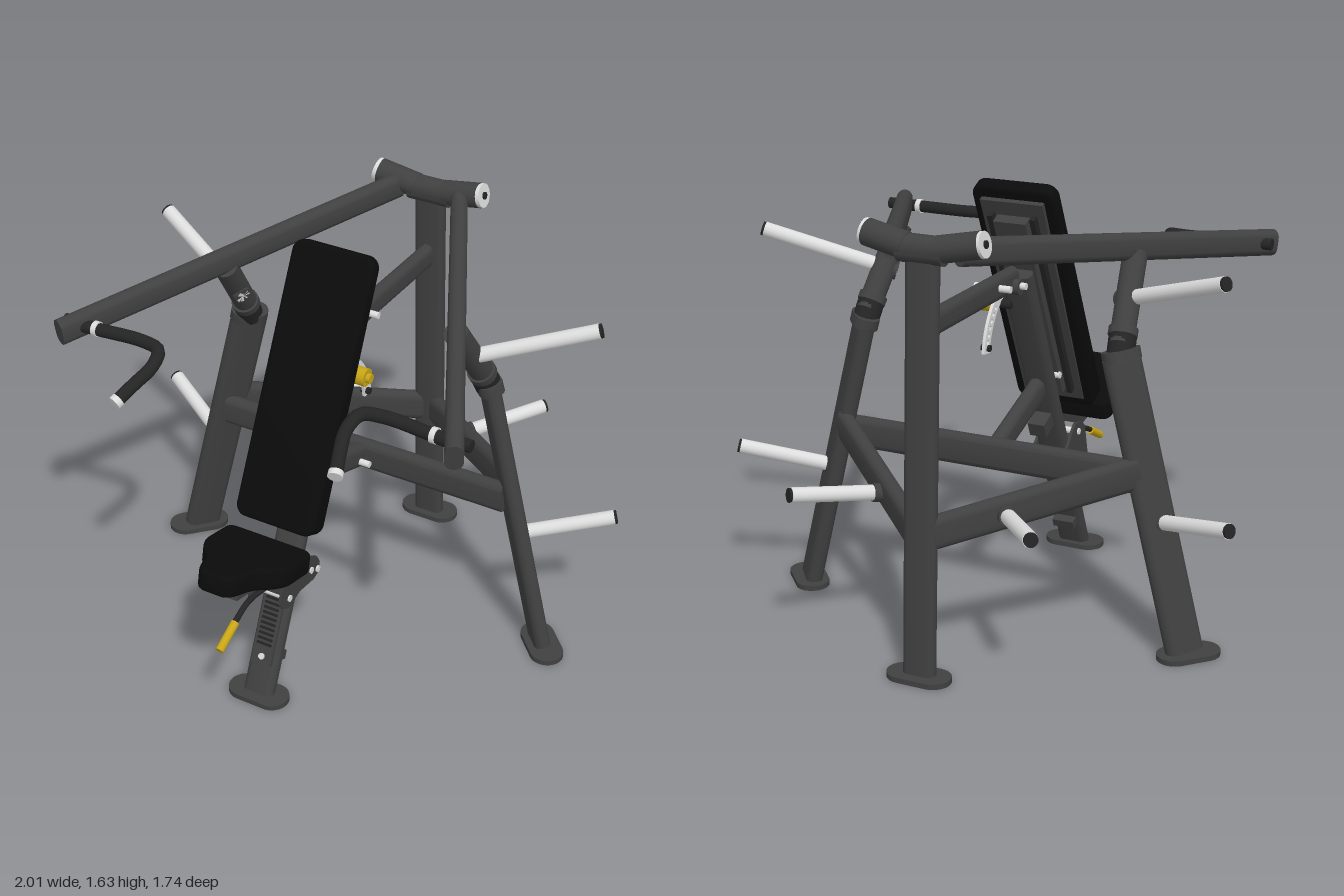
import * as THREE from 'three';
import { toCreasedNormals } from 'three/addons/utils/BufferGeometryUtils.js';

const mat = (name, color) => {
  const m = new THREE.MeshStandardMaterial({ color });
  m.name = name;
  return m;
};
const V = (x, y, z) => new THREE.Vector3(x, y, z);

export function createModel() {
  const root = new THREE.Group();
  root.name = 'chestPressMachine';
  const frame = mat('frame grey', 0x404040);
  const black = mat('pad black', 0x0b0b0b);
  const chrome = mat('bright metal', 0xdcdcdc);
  const dark = mat('rubber dark', 0x242424);
  const yellow = mat('grip yellow', 0xc8a516);

  const add = (name, geo, m, parent = root) => {
    const mesh = new THREE.Mesh(geo, m);
    mesh.name = name;
    parent.add(mesh);
    return mesh;
  };
  const smooth = (g) => toCreasedNormals(g, 0.6);

  // Round-sided flat tube from a to b; w is measured along the direction "wide"
  const beam = (name, a, b, w, t, wide, m = frame, parent = root) => {
    const r = t / 2, s = w / 2 - r, shape = new THREE.Shape();
    shape.absarc(s, 0, r, -Math.PI / 2, Math.PI / 2);
    shape.absarc(-s, 0, r, Math.PI / 2, Math.PI * 1.5);
    const geo = new THREE.ExtrudeGeometry(shape, { depth: a.distanceTo(b), bevelEnabled: false, curveSegments: 8 });
    const z = b.clone().sub(a).normalize();
    const x = wide.clone().addScaledVector(z, -wide.dot(z)).normalize();
    const y = z.clone().cross(x);
    geo.applyMatrix4(new THREE.Matrix4().makeBasis(x, y, z).setPosition(a));
    return add(name, smooth(geo), m, parent);
  };
  const rod = (name, a, b, r, m, parent = root) => {
    const d = b.clone().sub(a);
    const mesh = add(name, new THREE.CylinderGeometry(r, r, d.length(), 20), m, parent);
    mesh.position.copy(a).addScaledVector(d, 0.5);
    mesh.quaternion.setFromUnitVectors(V(0, 1, 0), d.normalize());
    return mesh;
  };
  const tube = (name, pts, r, m) =>
    add(name, new THREE.TubeGeometry(new THREE.CatmullRomCurve3(pts), 32, r, 12), m);
  const box = (name, w, h, d, x, y, z, m, parent = root) => {
    const mesh = add(name, new THREE.BoxGeometry(w, h, d), m, parent);
    mesh.position.set(x, y, z);
    return mesh;
  };
  // Plate drawn in the z-y plane, centred on x
  const sidePlate = (name, shape, x, t, m) => {
    const geo = new THREE.ExtrudeGeometry(shape, { depth: t, bevelEnabled: false, curveSegments: 16 });
    geo.rotateY(-Math.PI / 2).translate(x + t / 2, 0, 0);
    return add(name, smooth(geo), m);
  };
  const bolt = (x, y, z) => rod('bolt', V(-x, y, z), V(x, y, z), 0.013, chrome);
  const foot = (name, x, z, wide) => beam(name, V(x, 0, z), V(x, 0.02, z), 0.245, 0.13, wide);
  // Weight horn with root flange and dark end plug
  const horn = (name, a, b) => {
    const d = b.clone().sub(a).normalize();
    rod(name, a, b, 0.028, chrome);
    rod(name + 'Flange', a, a.clone().addScaledVector(d, 0.03), 0.034, frame);
    rod(name + 'Plug', b, b.clone().addScaledVector(d, 0.009), 0.026, dark);
  };
  const UP = V(0, 1, 0), RIGHT = V(1, 0, 0);

  // Rear post, crossbar and centre beams
  beam('rearPost', V(0, 0.01, -0.78), V(0, 1.57, -0.705), 0.125, 0.058, RIGHT);
  foot('rearFoot', 0, -0.785, RIGHT);
  foot('frontFoot', 0, 0.583, RIGHT);
  beam('crossbar', V(-0.61, 0.65, -0.19), V(0.61, 0.65, -0.19), 0.125, 0.06, UP);
  beam('upperCentreBeam', V(0, 1.275, -0.02), V(0, 1.275, -0.71), 0.095, 0.055, UP);
  beam('lowerCentreBeam', V(0, 0.785, 0.22), V(0, 0.65, -0.17), 0.1, 0.06, UP);
  beam('pivotBlock', V(-0.085, 1.545, -0.71), V(0.085, 1.545, -0.71), 0.1, 0.09, UP);

  for (const s of [1, -1]) {
    const P = (x, y, z) => V(s * x, y, z);
    const turned = P(0.68, 0, 0.73);
    // Side leg and its brace to the rear post
    beam('sideLeg', P(0.783, 0.02, -0.215), P(0.515, 1.1, -0.215), 0.145, 0.062, turned);
    foot('sideFoot', s * 0.797, -0.21, turned);
    beam('rearBrace', P(0.6, 0.69, -0.24), P(0.03, 0.545, -0.75), 0.125, 0.06, UP);
    // Arm stop at the top of the leg
    beam('legCollar', P(0.52, 1.085, -0.213), P(0.51, 1.125, -0.21), 0.145, 0.095, turned);
    rod('bumper', P(0.512, 1.1, -0.215), P(0.505, 1.17, -0.175), 0.05, dark);
    rod('armStrut', P(0.508, 1.14, -0.2), P(0.475, 1.42, 0.0), 0.045, frame);
    rod('strutRing', P(0.505, 1.165, -0.18), P(0.502, 1.19, -0.163), 0.053, frame);
    // Weight horns
    horn('armHorn', P(0.45, 1.265, -0.075), P(0.905, 1.42, -0.262));
    horn('legHorn', P(0.67, 0.5, -0.205), P(0.985, 0.583, -0.37));
    horn('braceHorn', P(0.25, 0.595, -0.59), P(0.463, 0.64, -0.85));
    // Press arm and pivot sleeve
    rod('pivotSleeve', P(0.06, 1.55, -0.71), P(0.215, 1.58, -0.7), 0.048, frame);
    rod('pivotCap', P(0.213, 1.58, -0.7), P(0.228, 1.583, -0.7), 0.046, chrome);
    rod('pivotCapBolt', P(0.227, 1.583, -0.7), P(0.234, 1.584, -0.7), 0.014, dark);
    beam('pressArm', P(0.13, 1.545, -0.69), P(0.785, 1.355, 0.605), 0.1, 0.064, UP);
    rod('armBolt', P(0.7, 1.365, 0.53), P(0.81, 1.365, 0.53), 0.022, dark);
    // Bent handle
    tube('handle', [P(0.78, 1.362, 0.54), P(0.66, 1.364, 0.53), P(0.48, 1.366, 0.52), P(0.405, 1.362, 0.54),
      P(0.388, 1.335, 0.605), P(0.41, 1.3, 0.685), P(0.435, 1.262, 0.755)], 0.024, dark);
    rod('handleCollar', P(0.665, 1.364, 0.53), P(0.685, 1.364, 0.53), 0.028, chrome);
    rod('handleEnd', P(0.432, 1.266, 0.747), P(0.438, 1.257, 0.766), 0.026, chrome);
  }

  // Leaning spine with ratchet strip
  const spine = new THREE.Group();
  spine.name = 'spine';
  spine.position.set(0, 0.012, 0.58);
  spine.rotation.x = -0.4124;
  root.add(spine);
  beam('spineTube', V(0, 0, 0), V(0, 1.39, 0), 0.125, 0.06, RIGHT, frame, spine);
  box('ratchetStrip', 0.085, 0.28, 0.012, 0, 0.26, 0.034, frame, spine);
  for (let i = 0; i < 10; i++) box('ratchetTooth', 0.06, 0.008, 0.01, 0, 0.2 + i * 0.02, 0.043, dark, spine);
  rod('stripBolt', V(0, 0.15, 0.03), V(0, 0.15, 0.048), 0.012, chrome, spine);
  box('spineStop', 0.09, 0.035, 0.06, 0, 0.15, -0.035, frame, spine);
  box('backHinge', 0.07, 0.06, 0.09, 0, 0.7, -0.06, frame, spine);

  // Back pad with its board and channel
  const back = new THREE.Group();
  back.name = 'backRest';
  back.position.set(0, 1.156, 0.211);
  back.rotation.x = -0.435;
  root.add(back);
  const roundRect = (w, h, r) => {
    const q = new THREE.Shape(), x = w / 2 - r, y = h / 2 - r;
    q.absarc(x, y, r, 0, Math.PI / 2).absarc(-x, y, r, Math.PI / 2, Math.PI);
    q.absarc(-x, -y, r, Math.PI, Math.PI * 1.5).absarc(x, -y, r, Math.PI * 1.5, Math.PI * 2);
    return q;
  };
  const bevel = { bevelEnabled: true, bevelSize: 0.015, bevelThickness: 0.015, bevelSegments: 3, curveSegments: 8 };
  const padGeo = new THREE.ExtrudeGeometry(roundRect(0.3, 1.0, 0.03), { depth: 0.046, ...bevel });
  padGeo.translate(0, 0, -0.023);
  const p = padGeo.attributes.position;
  for (let i = 0; i < p.count; i++) p.setZ(i, p.getZ(i) * (1 - p.getY(i) * 0.4)); // thinner at the top
  add('backPad', toCreasedNormals(padGeo, 0.9), black, back);
  box('backBoard', 0.25, 0.94, 0.02, 0, 0, -0.04, frame, back);
  box('backChannel', 0.13, 0.82, 0.05, 0, 0.0, -0.068, frame, back);
  for (const s of [1, -1]) box('backRib', 0.02, 0.84, 0.035, s * 0.085, 0, -0.06, dark, back);

  // Curved angle selector with holes and a knob
  const arc = new THREE.Shape(), cz = 0.184, cy = 0.963, R = 0.276;
  arc.absarc(cz, cy, R + 0.023, 2.1, 3.02, false);
  arc.absarc(cz, cy, R - 0.023, 3.02, 2.1, true);
  for (let i = 0; i < 7; i++) {
    const a = 2.38 + i * 0.098;
    arc.holes.push(new THREE.Path().absarc(cz + R * Math.cos(a), cy + R * Math.sin(a), 0.009, 0, Math.PI * 2, true));
  }
  sidePlate('angleSelector', arc, 0.075, 0.012, chrome);
  rod('selectorStop', V(0.06, 1.015, -0.08), V(0.095, 1.015, -0.08), 0.013, dark);
  rod('knobShaft', V(0.03, 1.155, 0.04), V(0.11, 1.155, 0.04), 0.016, dark);
  rod('knob', V(0.1, 1.155, 0.04), V(0.15, 1.155, 0.04), 0.034, yellow);
  rod('knobTip', V(0.15, 1.155, 0.04), V(0.166, 1.155, 0.04), 0.018, yellow);

  // Seat cushion, tapering to the front
  const seat = new THREE.Group();
  seat.name = 'seat';
  seat.position.set(0, 0.665, 0.665);
  seat.rotation.x = -0.22;
  root.add(seat);
  const out = new THREE.Shape();
  out.moveTo(-0.14, -0.175).lineTo(0.14, -0.175).quadraticCurveTo(0.165, -0.175, 0.165, -0.15);
  out.lineTo(0.165, -0.05).quadraticCurveTo(0.165, -0.01, 0.125, 0.035);
  out.quadraticCurveTo(0.085, 0.07, 0.075, 0.12).quadraticCurveTo(0.06, 0.185, 0.035, 0.185);
  out.lineTo(-0.035, 0.185).quadraticCurveTo(-0.06, 0.185, -0.075, 0.12);
  out.quadraticCurveTo(-0.085, 0.07, -0.125, 0.035).quadraticCurveTo(-0.165, -0.01, -0.165, -0.05);
  out.lineTo(-0.165, -0.15).quadraticCurveTo(-0.165, -0.175, -0.14, -0.175);
  const seatGeo = new THREE.ExtrudeGeometry(out, { depth: 0.052, ...bevel });
  seatGeo.rotateX(Math.PI / 2).translate(0, 0.026, 0);
  add('seatCushion', toCreasedNormals(seatGeo, 0.9), black, seat);
  box('seatBracket', 0.11, 0.045, 0.28, 0, -0.06, -0.03, frame, seat);

  // Seat carriage cheeks, bolts and release lever
  const cheek = new THREE.Shape([[0.5, 0.55], [0.47, 0.575], [0.41, 0.585], [0.37, 0.55], [0.345, 0.515], [0.275, 0.475],
    [0.256, 0.44], [0.262, 0.4], [0.3, 0.385], [0.4, 0.395], [0.48, 0.37], [0.525, 0.395], [0.53, 0.43]]
    .map(([z, y]) => new THREE.Vector2(z, y)));
  for (const s of [1, -1]) sidePlate('carriageCheek', cheek, s * 0.068, 0.012, frame);
  box('carriageBlock', 0.1, 0.09, 0.1, 0, 0.47, 0.44, frame);
  for (const [y, z] of [[0.545, 0.433], [0.413, 0.475], [0.44, 0.32], [0.418, 0.275]]) bolt(0.08, y, z);
  for (const [y, z] of [[0.83, 0.26], [0.65, -0.125], [1.26, -0.05], [1.28, -0.18]]) bolt(0.072, y, z);
  rod('hingePin', V(-0.05, 1.255, -0.05), V(0.05, 1.255, -0.05), 0.03, frame);
  tube('releaseLever', [V(0, 0.46, 0.5), V(0, 0.478, 0.6), V(0, 0.477, 0.65), V(0, 0.45, 0.72), V(0, 0.43, 0.76)], 0.011, dark);
  rod('leverGrip', V(0, 0.445, 0.725), V(0, 0.39, 0.832), 0.016, yellow);

  return root;
}
